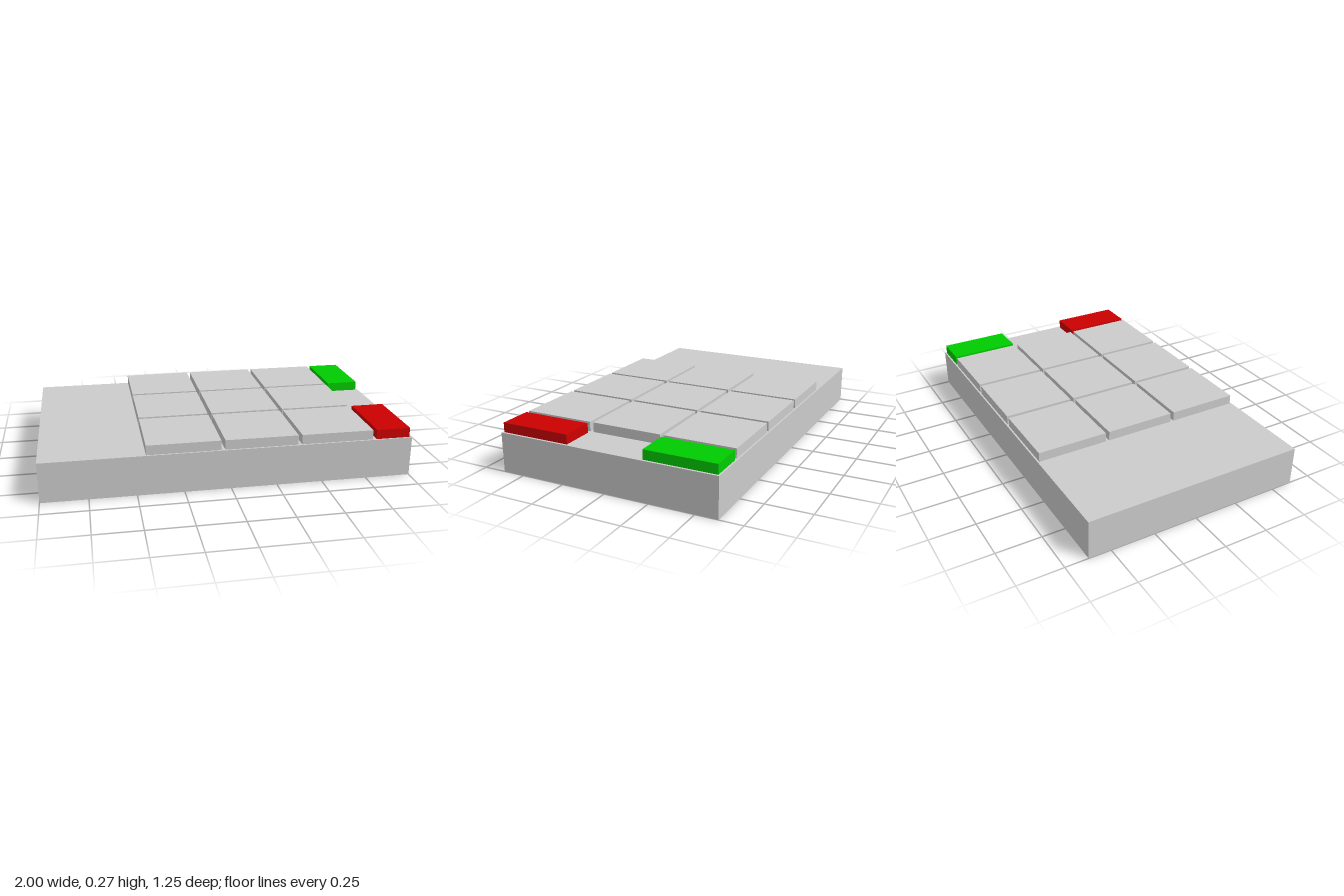
import * as THREE from 'three';

const BASE_HEIGHT = 0.22;
const KEY_HEIGHT = 0.053;
const KEY_SIZE = 0.395;
const PITCH = 0.416;

function addBox(parent, name, size, position, color = 0xcccccc) {
  const mesh = new THREE.Mesh(
    new THREE.BoxGeometry(...size),
    new THREE.MeshStandardMaterial({ color })
  );
  mesh.name = name;
  mesh.position.set(...position);
  parent.add(mesh);
}

export function createModel() {
  const model = new THREE.Group();
  model.name = 'keypad';

  // Flat housing
  addBox(model, 'base', [2, BASE_HEIGHT, 1.246], [0, BASE_HEIGHT / 2, 0]);

  // Three by three grid of square keys
  const keyY = BASE_HEIGHT + KEY_HEIGHT / 2;
  const keys = new THREE.Group();
  keys.name = 'keys';
  for (let column = 0; column < 3; column++) {
    for (let row = -1; row <= 1; row++) {
      addBox(keys, `key${column * 3 + row + 2}`, [KEY_SIZE, KEY_HEIGHT, KEY_SIZE],
        [-0.251 + column * PITCH, keyY, row * PITCH]);
    }
  }
  model.add(keys);

  // Narrow coloured keys at the end corners
  const narrow = [0.187, KEY_HEIGHT, KEY_SIZE];
  addBox(model, 'redKey', narrow, [0.894, keyY, PITCH], 0xcc0000);
  addBox(model, 'greenKey', narrow, [0.894, keyY, -PITCH], 0x00cc00);

  return model;
}
